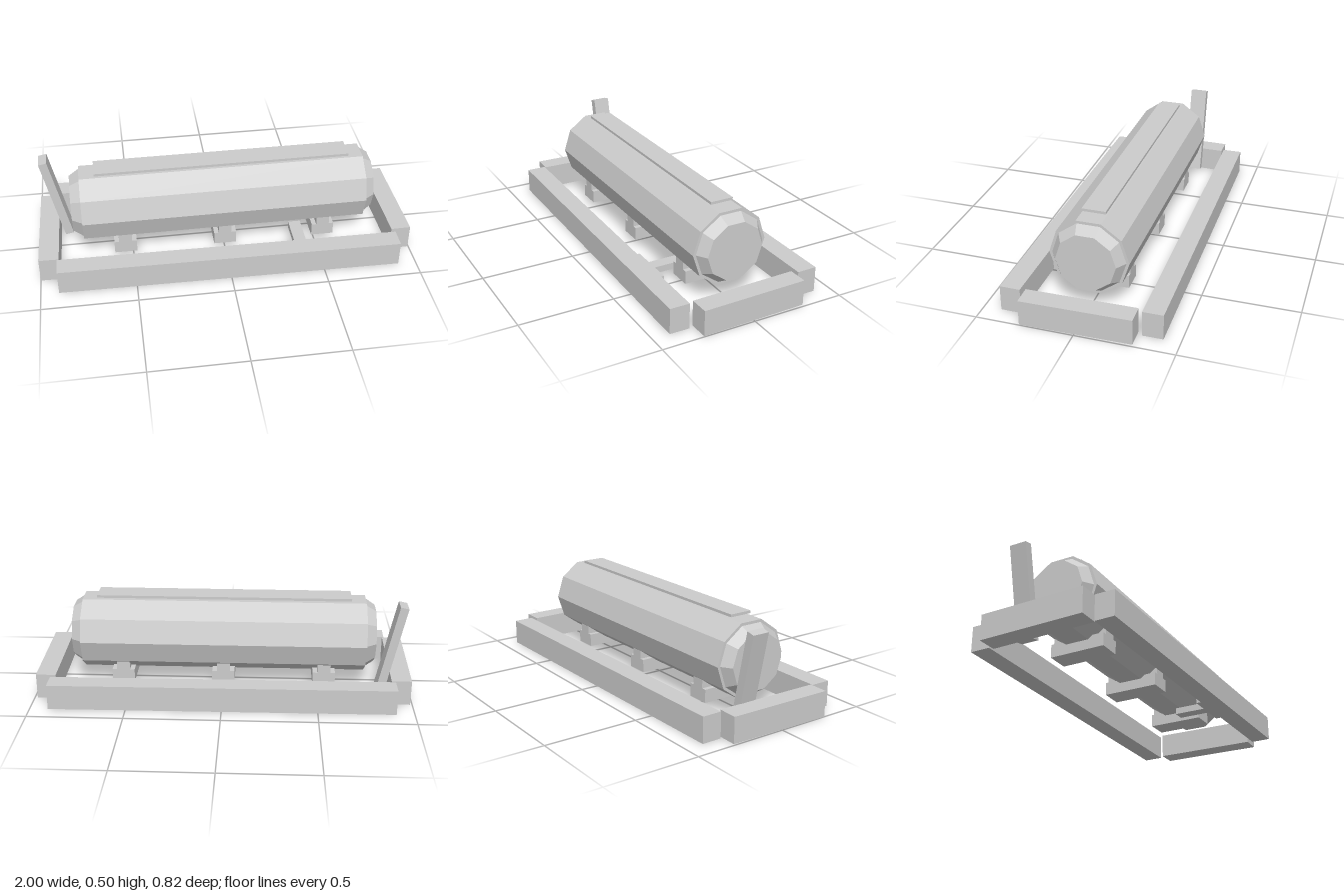
import * as THREE from 'three';

export function createModel() {
  const model = new THREE.Group();
  const grey = new THREE.MeshStandardMaterial({ color: 0xcccccc });
  grey.name = 'light grey';

  function box(name, size, pos, rot = [0, 0, 0], parent = model) {
    const mesh = new THREE.Mesh(new THREE.BoxGeometry(...size), grey);
    mesh.name = name;
    mesh.position.set(...pos);
    mesh.rotation.set(...rot);
    parent.add(mesh);
    return mesh;
  }

  // Ten-sided tank with stepped, chamfered ends, lying along x
  const half = [[0.203, 0.757], [0.188, 0.757], [0.153, 0.81], [0, 0.81]];
  const profile = [
    ...half.slice().reverse().map(([r, h]) => new THREE.Vector2(r, -h)),
    ...half.map(([r, h]) => new THREE.Vector2(r, h)),
  ];
  const tankGeometry = new THREE.LatheGeometry(profile, 10).toNonIndexed();
  tankGeometry.computeVertexNormals();
  tankGeometry.rotateZ(-Math.PI / 2);
  const tank = new THREE.Mesh(tankGeometry, grey);
  tank.name = 'tank';
  tank.position.y = 0.285;
  model.add(tank);

  // Long flat strip above the tank
  box('topStrip', [1.355, 0.014, 0.122], [0, 0.495, 0]);

  // Surrounding beams, each laid slightly askew
  const h = 0.135;
  box('frontBeam', [1.81, h, 0.105], [0, h / 2, 0.346], [0, -0.012, 0]);
  box('backBeam', [1.81, h, 0.105], [0, h / 2, -0.356], [0, 0.007, 0]);
  box('leftBeam', [0.105, h, 0.565], [0.938, h / 2, -0.004], [0, 0.018, 0]);
  box('rightBeam', [0.105, h, 0.565], [-0.942, h / 2, -0.004], [0, -0.018, 0]);

  // Three two-step cradles under the tank
  for (const x of [-0.54, 0, 0.54]) {
    const cradle = new THREE.Group();
    cradle.name = 'cradle';
    cradle.position.x = x;
    box('cradleBase', [0.12, 0.07, 0.3], [0, 0.075, 0], [0, 0, 0], cradle);
    box('cradleTop', [0.07, 0.05, 0.3], [0, 0.135, 0], [0, 0, 0], cradle);
    model.add(cradle);
  }

  // Leaning handle at the end
  box('handle', [0.045, 0.487, 0.092], [-0.892, 0.258, -0.121], [0, 0, 0.21]);

  // Low pedal and its arm
  box('pedalArm', [0.065, 0.035, 0.18], [0.4, 0.055, 0.15]);
  box('pedal', [0.265, 0.04, 0.045], [0.4, 0.055, 0.257]);

  return model;
}
